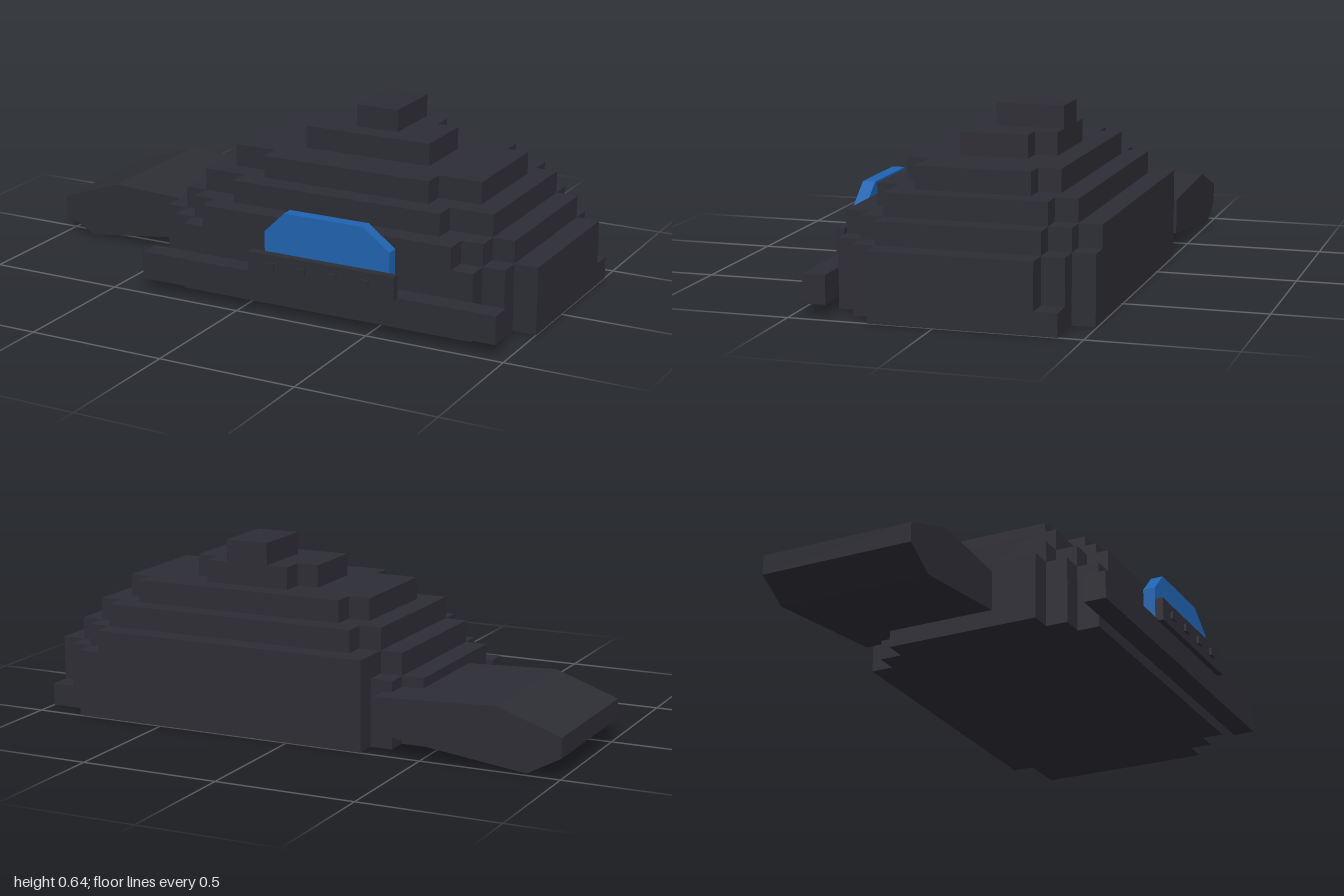
import * as THREE from 'three';

const charcoal = new THREE.MeshStandardMaterial({ color: 0x2d2d35 });
charcoal.name = 'charcoal';
const blue = new THREE.MeshStandardMaterial({ color: 0x2063b0 });
blue.name = 'blue';

// Box given by its extents on each axis
function box(name, x0, x1, y0, y1, z0, z1, material = charcoal) {
  const mesh = new THREE.Mesh(new THREE.BoxGeometry(x1 - x0, y1 - y0, z1 - z0), material);
  mesh.position.set((x0 + x1) / 2, (y0 + y1) / 2, (z0 + z1) / 2);
  mesh.name = name;
  return mesh;
}

// Side profile in x/y, extruded from z0 to z1
function slab(name, points, z0, z1, material) {
  const shape = new THREE.Shape(points.map(([x, y]) => new THREE.Vector2(x, y)));
  const geometry = new THREE.ExtrudeGeometry(shape, { depth: z1 - z0, bevelEnabled: false });
  geometry.translate(0, 0, z0);
  const mesh = new THREE.Mesh(geometry, material);
  mesh.name = name;
  return mesh;
}

// Stepped body tiers: [bottom, top, strips of [z0, z1, x0, x1] from back to front]
const TIERS = [
  [0.32, 0.56, [
    [-0.495, -0.415, -0.28, 0.835], [-0.415, -0.335, -0.36, 0.915], [-0.335, 0.225, -0.44, 1],
    [0.225, 0.305, -0.36, 0.915], [0.305, 0.385, -0.28, 0.835]]],
  [0.56, 0.64, [
    [-0.495, -0.415, -0.28, 0.755], [-0.415, -0.335, -0.28, 0.835], [-0.335, 0.225, -0.36, 0.915],
    [0.225, 0.305, -0.28, 0.835], [0.305, 0.385, -0.2, 0.755]]],
  [0.64, 0.72, [
    [-0.415, -0.335, -0.2, 0.755], [-0.335, 0.225, -0.28, 0.835], [0.225, 0.305, -0.12, 0.675]]],
  [0.72, 0.8, [
    [-0.335, -0.255, -0.12, 0.675], [-0.255, 0.145, -0.2, 0.755], [0.145, 0.225, -0.04, 0.595]]],
  [0.8, 0.88, [[-0.255, -0.175, 0.12, 0.44], [-0.175, 0.065, 0.04, 0.52]]],
  [0.88, 0.96, [[-0.255, -0.015, 0.2, 0.36]]],
];

export function createModel() {
  const model = new THREE.Group();
  model.name = 'steppedMound';

  // Body built up in tiers
  TIERS.forEach(([y0, y1, strips], i) => {
    const tier = new THREE.Group();
    tier.name = `bodyTier${i + 1}`;
    for (const [z0, z1, x0, x1] of strips) tier.add(box('tierStrip', x0, x1, y0, y1, z0, z1));
    model.add(tier);
  });
  model.add(box('cornerFoot', 0.915, 1, 0.32, 0.4, -0.415, -0.335));

  // Flat tapered paddle at the side
  model.add(slab('paddle', [
    [-1, 0.39], [-0.88, 0.325], [-0.325, 0.395], [-0.325, 0.52], [-0.77, 0.54], [-1, 0.46],
  ], -0.495, 0.06, charcoal));

  // Front ledge, window and control panel
  model.add(box('frontLedge', -0.4, 0.955, 0.36, 0.46, 0.385, 0.465));
  model.add(slab('window', [
    [0.08, 0.46], [0.555, 0.46], [0.555, 0.605], [0.455, 0.68], [0.155, 0.68], [0.08, 0.605],
  ], 0.395, 0.44, blue));
  model.add(box('panel', 0.04, 0.595, 0.455, 0.54, 0.456, 0.486));
  for (let i = 0; i < 4; i++) {
    const x = 0.125 + i * 0.12;
    model.add(box('panelButton', x - 0.017, x + 0.017, 0.485, 0.513, 0.486, 0.495));
  }
  return model;
}
